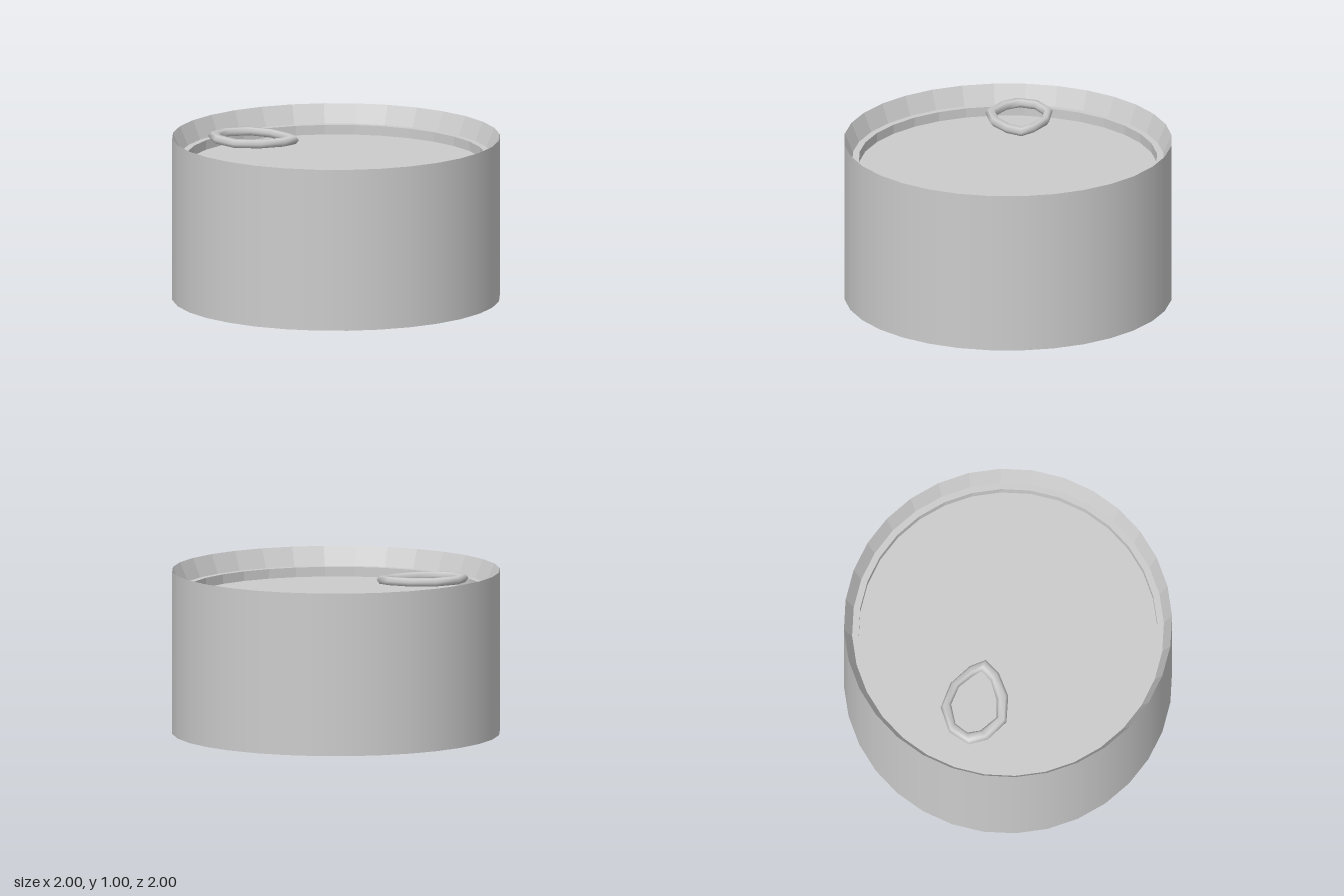
import * as THREE from 'three';

const SIDES = 32;

// Surface of revolution from [radius, y] pairs; faceted or smooth
function turned(name, profile, flat) {
  let geo = new THREE.LatheGeometry(profile.map(([r, y]) => new THREE.Vector2(r, y)), SIDES);
  if (flat) {
    geo = geo.toNonIndexed();
    geo.computeVertexNormals();
  }
  const mesh = new THREE.Mesh(geo, new THREE.MeshStandardMaterial({ color: 0xcccccc, flatShading: flat }));
  mesh.name = name;
  return mesh;
}

// Teardrop ring: an oval section swept between an outer and an inner outline
function makePullTab() {
  // outer x, outer z, inner x, inner z
  const outline = [
    [-0.80, -0.12, -0.725, -0.14], [-0.74, -0.25, -0.68, -0.22],
    [-0.59, -0.325, -0.56, -0.265], [-0.425, -0.29, -0.44, -0.235],
    [-0.295, -0.19, -0.36, -0.165], [-0.24, -0.10, -0.315, -0.115],
    [-0.31, -0.01, -0.37, -0.05], [-0.45, 0.07, -0.49, 0.005],
    [-0.62, 0.085, -0.60, 0.02], [-0.75, -0.01, -0.70, -0.065],
  ];
  const n = outline.length, m = 6, halfHeight = 0.028;
  const positions = [], index = [];
  outline.forEach(([ox, oz, ix, iz], i) => {
    const cx = (ox + ix) / 2, cz = (oz + iz) / 2;
    // slight tilt, higher toward the can wall
    const cy = 0.955 - 0.018 * (cx + 0.52) - 0.025 * (cz + 0.12);
    for (let j = 0; j < m; j++) {
      const t = (j / m) * Math.PI * 2, c = Math.cos(t) / 2;
      positions.push(cx + (ox - ix) * c, cy + halfHeight * Math.sin(t), cz + (oz - iz) * c);
      const a = i * m + j, up = i * m + (j + 1) % m;
      const next = ((i + 1) % n) * m + j, nextUp = ((i + 1) % n) * m + (j + 1) % m;
      index.push(a, up, next, up, nextUp, next);
    }
  });
  const geo = new THREE.BufferGeometry();
  geo.setAttribute('position', new THREE.Float32BufferAttribute(positions, 3));
  geo.setIndex(index);
  geo.computeVertexNormals();
  const mesh = new THREE.Mesh(geo, new THREE.MeshStandardMaterial({ color: 0xcccccc }));
  mesh.name = 'pullTab';
  return mesh;
}

export function createModel() {
  const can = new THREE.Group();
  can.name = 'can';
  can.add(
    turned('canWall', [[1, 0], [1, 1]], false),
    turned('canBottom', [[0, 0], [1, 0]], true),
    // Sloping inner rim, narrow ledge and short step down to the lid
    turned('innerRim', [[1, 1], [0.95, 0.884], [0.91, 0.884], [0.91, 0.825]], true),
    turned('lid', [[0.91, 0.825], [0, 0.825]], true),
    makePullTab(),
  );
  return can;
}
